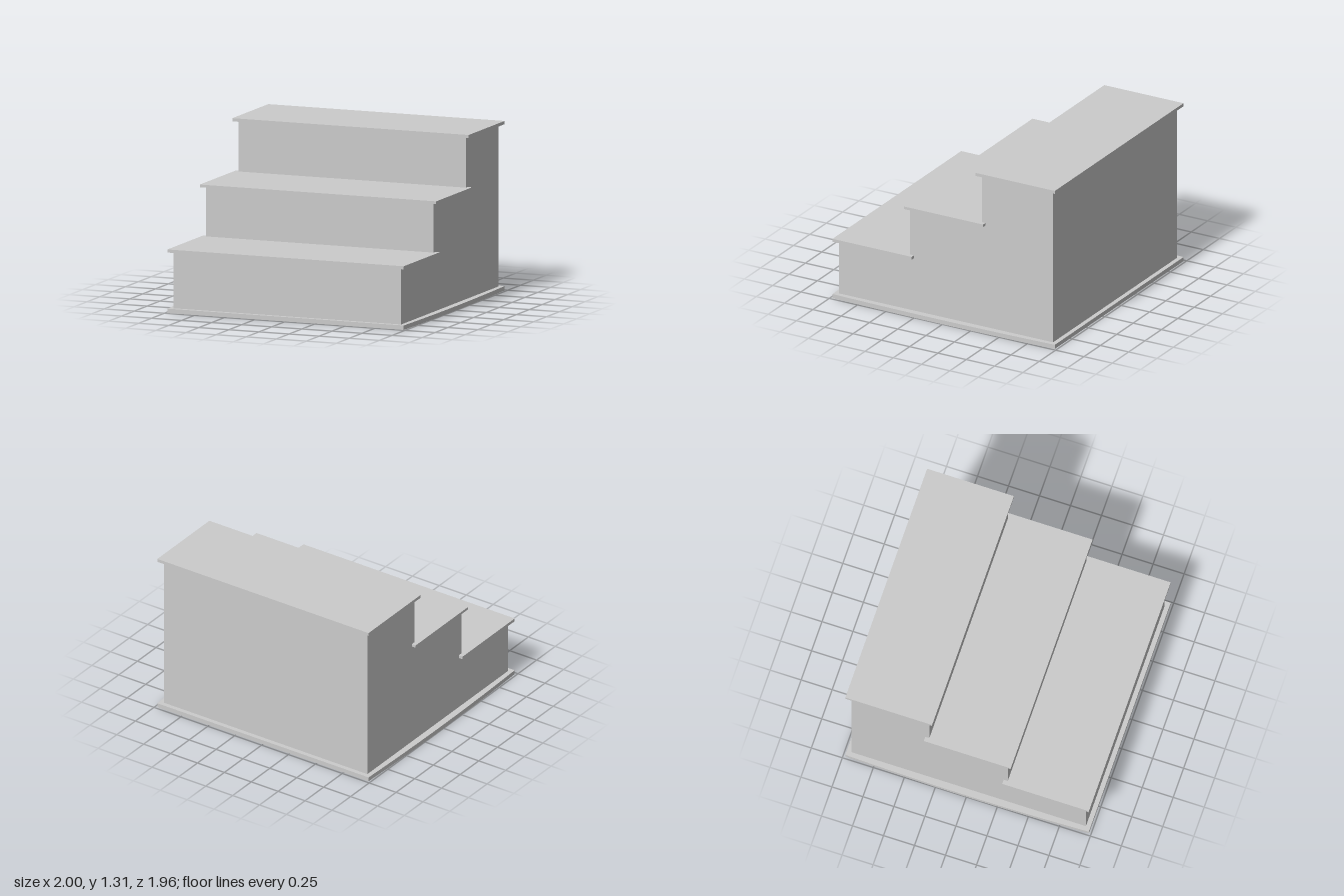
import * as THREE from 'three';

export function createModel() {
  const group = new THREE.Group();
  const material = new THREE.MeshStandardMaterial({ color: 0xcccccc, flatShading: true });
  const add = (name, geometry) => {
    const mesh = new THREE.Mesh(geometry, material);
    mesh.name = name;
    group.add(mesh);
    return mesh;
  };

  const half = 0.982; // half width and depth of the slabs
  const baseTop = 0.034;
  const bodyHalf = 0.946;
  const treads = [
    { bottom: 0.469, top: 0.493, front: 0.982, back: 0.283 },
    { bottom: 0.877, top: 0.898, front: 0.352, back: -0.349 },
    { bottom: 1.289, top: 1.314, front: -0.282, back: -0.982 },
  ];

  // Base plate: straight front and back, sides bowed slightly outward
  const plan = new THREE.Shape();
  plan.moveTo(-half, -half);
  plan.lineTo(half, -half);
  plan.quadraticCurveTo(1.018, 0, half, half);
  plan.lineTo(-half, half);
  plan.quadraticCurveTo(-1.018, 0, -half, -half);
  const base = new THREE.ExtrudeGeometry(plan, { depth: baseTop, bevelEnabled: false, curveSegments: 16 });
  base.rotateX(-Math.PI / 2);
  add('basePlate', base);

  // Stepped body: side profile (z, y) extruded across the width
  const risers = [bodyHalf, 0.316, -0.316];
  const profile = new THREE.Shape();
  profile.moveTo(-bodyHalf, baseTop);
  profile.lineTo(bodyHalf, baseTop);
  treads.forEach((t, i) => {
    profile.lineTo(risers[i], t.bottom);
    profile.lineTo(risers[i + 1] ?? -bodyHalf, t.bottom);
  });
  profile.closePath();
  const body = new THREE.ExtrudeGeometry(profile, { depth: bodyHalf * 2, bevelEnabled: false });
  body.translate(0, 0, -bodyHalf);
  body.rotateY(-Math.PI / 2);
  add('steppedBody', body);

  // Overhanging treads
  treads.forEach((t, i) => {
    const tread = add(`tread${i + 1}`, new THREE.BoxGeometry(half * 2, t.top - t.bottom, t.front - t.back));
    tread.position.set(0, (t.top + t.bottom) / 2, (t.front + t.back) / 2);
  });

  return group;
}
